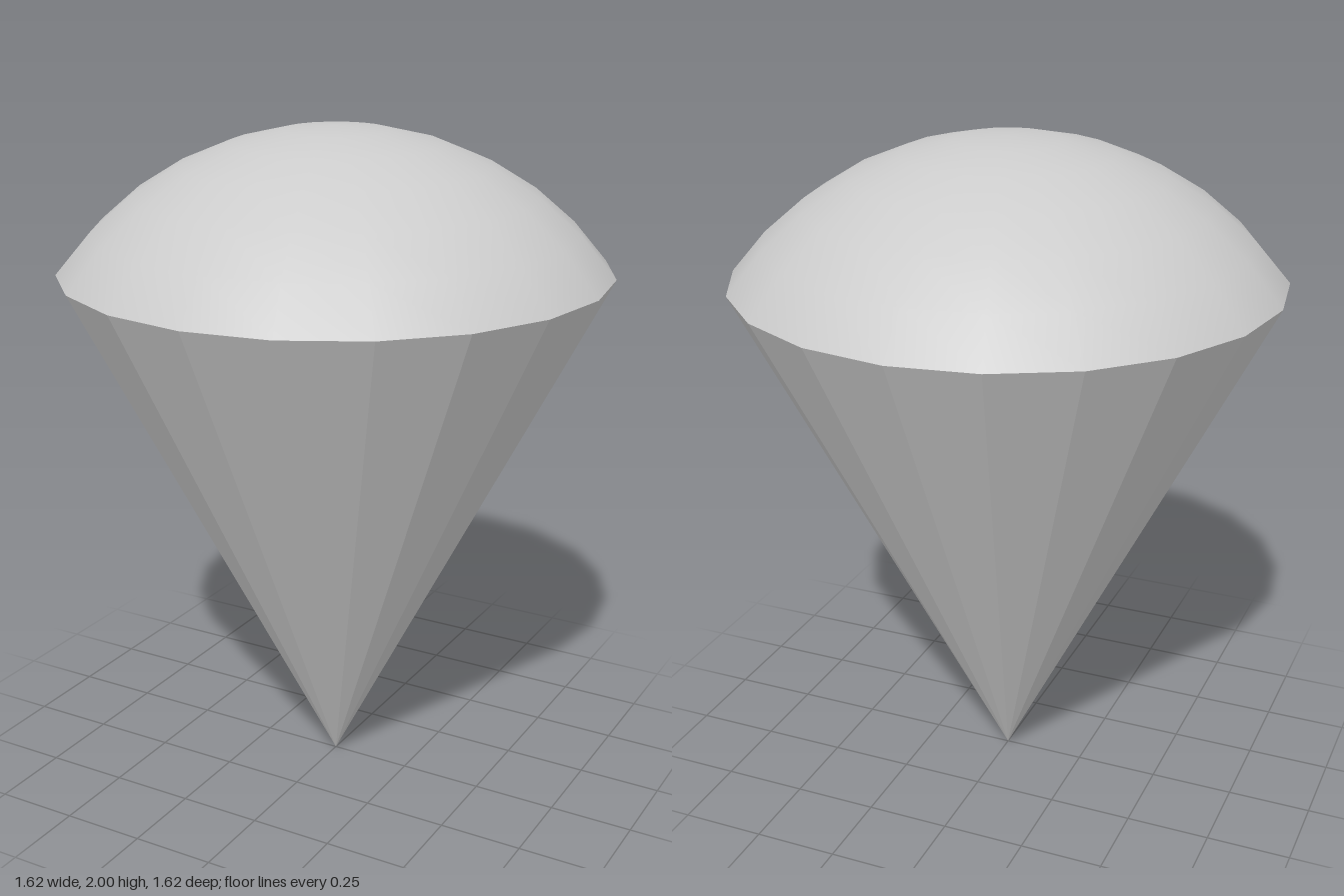
import * as THREE from 'three';

const SIDES = 20;
const RADIUS = 1; // sphere the dome is cut from, centred at y = 1
const CAP_ANGLE = THREE.MathUtils.degToRad(54);

export function createModel() {
  const group = new THREE.Group();
  group.name = 'domedCone';

  const rimRadius = RADIUS * Math.sin(CAP_ANGLE);
  const rimHeight = 1 + RADIUS * Math.cos(CAP_ANGLE);

  // Smooth spherical cap in 9 degree rings
  const dome = new THREE.Mesh(
    new THREE.SphereGeometry(RADIUS, SIDES, 6, 0, Math.PI * 2, 0, CAP_ANGLE),
    new THREE.MeshStandardMaterial({ color: 0xcccccc, side: THREE.DoubleSide })
  );
  dome.name = 'dome';
  dome.position.y = 1;
  group.add(dome);

  // Faceted cone with its point on the ground
  const cone = new THREE.Mesh(
    new THREE.CylinderGeometry(rimRadius, 0, rimHeight, SIDES, 1, true),
    new THREE.MeshStandardMaterial({ color: 0xcccccc, flatShading: true, side: THREE.DoubleSide })
  );
  cone.name = 'cone';
  cone.position.y = rimHeight / 2;
  group.add(cone);

  return group;
}
